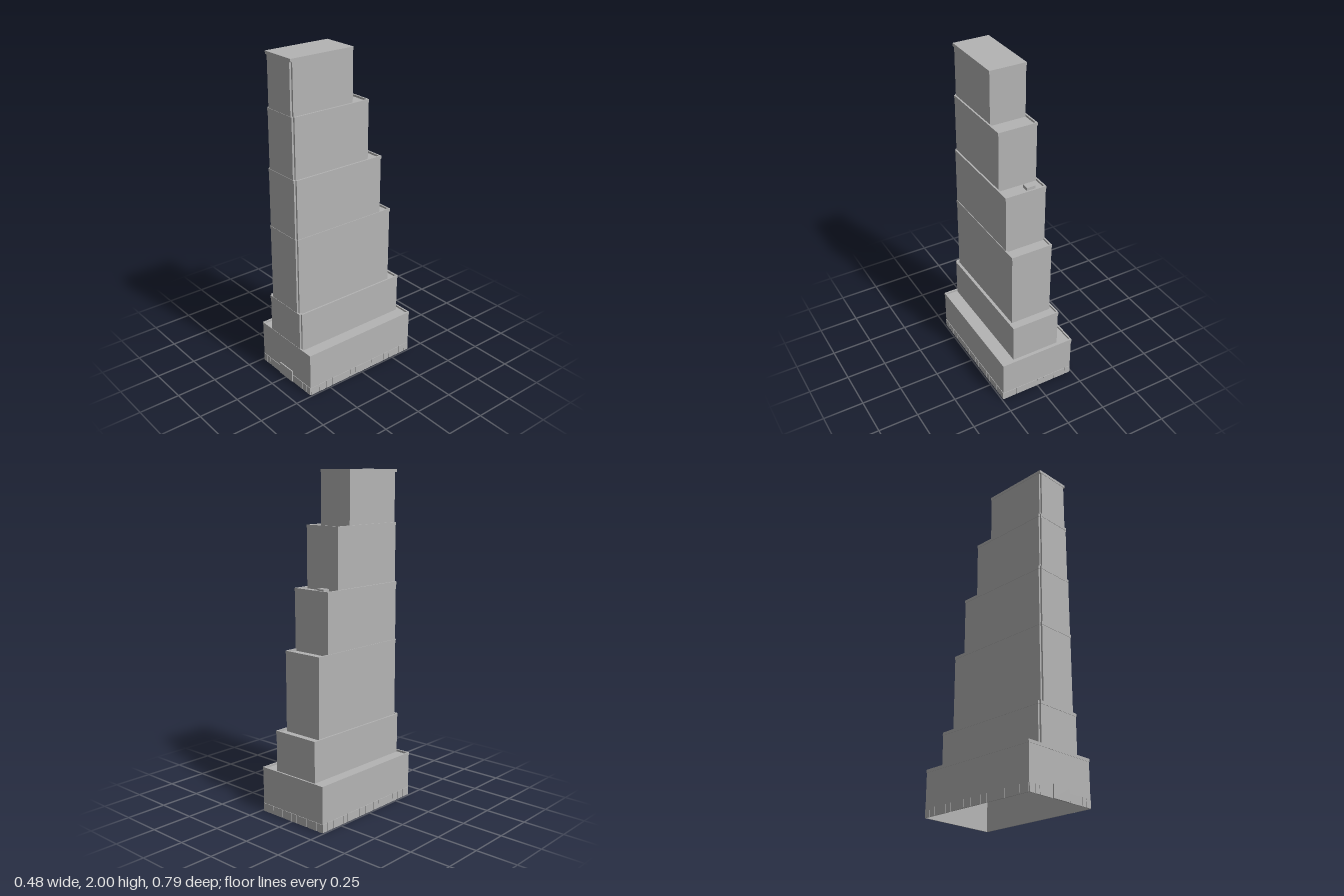
import * as THREE from 'three';

export function createModel() {
  const tower = new THREE.Group();
  tower.name = 'steppedTower';
  const stone = new THREE.MeshStandardMaterial({ color: 0xb4b4b4, side: THREE.DoubleSide });
  stone.name = 'grey stone';

  const add = (name, geometry, x = 0, y = 0, z = 0) => {
    const mesh = new THREE.Mesh(geometry, stone);
    mesh.name = name;
    mesh.position.set(x, y, z);
    tower.add(mesh);
    return mesh;
  };
  const box = (name, w, h, d, x, y, z) => add(name, new THREE.BoxGeometry(w, h, d), x, y, z);

  // Plan outline with square notches in the two front corners (v is -z)
  const outline = (w, back, front, notch) => {
    const f = -front, n = notch;
    const pts = n
      ? [[-w + n, f], [w - n, f], [w - n, f + n], [w, f + n], [w, -back], [-w, -back], [-w, f + n], [-w + n, f + n]]
      : [[-w, f], [w, f], [w, -back], [-w, -back]];
    return pts.map(([x, v]) => new THREE.Vector2(x, v));
  };
  // Upright prism from y0 to y1, with an optional hole through it
  const prism = (name, pts, y0, y1, hole) => {
    const shape = new THREE.Shape(pts);
    if (hole) shape.holes.push(new THREE.Path(hole));
    const g = new THREE.ExtrudeGeometry(shape, { depth: y1 - y0, bevelEnabled: false });
    g.rotateX(-Math.PI / 2);
    return add(name, g, 0, y0, 0);
  };

  const LIP = 0.002, RIM = 0.01, BAND = 0.018, SINK = 0.012, FRONT = 0.391;

  // Projecting parapet around a roof
  const parapet = (w, back, top, notch) => prism('parapet',
    outline(w, back, FRONT, notch), top - BAND, top,
    outline(w - RIM, back + RIM, FRONT - RIM, notch));

  // Base: open underneath, with a ceiling that is also its roof
  const bw = 0.241, bb = -0.396, baseTop = 0.275;
  prism('baseWalls', outline(bw - LIP, bb + LIP, FRONT - LIP, 0), 0, baseTop - BAND,
    outline(bw - 0.005, bb + 0.005, FRONT - 0.005, 0));
  parapet(bw, bb, baseTop, 0);
  box('baseRoof', 2 * bw - 0.008, 0.004, FRONT - bb - 0.008, 0, baseTop - SINK - 0.002, (FRONT + bb) / 2);

  // Setback tiers: half width, back z, top y
  const tiers = [
    [0.155, -0.366, 0.51],
    [0.132, -0.305, 0.98],
    [0.130, -0.228, 1.335],
    [0.122, -0.135, 1.69],
    [0.113, -0.027, 2.0],
  ];
  let floor = baseTop - SINK;
  tiers.forEach(([w, back, top], i) => {
    const last = i === tiers.length - 1;
    const roof = last ? top - BAND : top - SINK;
    prism('tierBody', outline(w - LIP, back + LIP, FRONT - LIP, 0.011), floor, roof);
    if (last) prism('topCap', outline(w, back, FRONT, 0), roof, top);
    else parapet(w, back, top, 0.011);
    floor = roof;
  });

  // Roof hatch on the third setback
  box('roofHatch', 0.054, 0.02, 0.044, -0.047, 1.331, -0.18);

  // Entrance panel on the front
  box('entrance', 0.124, 0.075, 0.007, 0, 0.0375, 0.3925);

  // Plinth panels with narrow joints between them
  const H = 0.05, GAP = 0.006, T = 0.004;
  const plinth = (cuts, place) => {
    for (let i = 0; i + 1 < cuts.length; i++) {
      place(cuts[i + 1] - cuts[i] - GAP, (cuts[i] + cuts[i + 1]) / 2);
    }
  };
  const sideCuts = [-0.395, -0.355, -0.31, -0.225, -0.185, -0.08, -0.03, 0.05, 0.09, 0.225, 0.275, 0.33, 0.39];
  for (const s of [-1, 1]) {
    plinth(sideCuts, (len, z) => box('sidePlinthPanel', T, H, len, s * 0.24, H / 2, z));
    plinth([0.065, 0.165, 0.2, 0.24], (len, x) =>
      box('frontPlinthPanel', len, H, T, s * x, H / 2, FRONT - 0.001));
  }
  plinth([-0.24, -0.2, -0.12, -0.04, 0.0, 0.08, 0.15, 0.24], (len, x) =>
    box('backPlinthPanel', len, H, T, x, H / 2, bb + 0.001));

  return tower;
}
